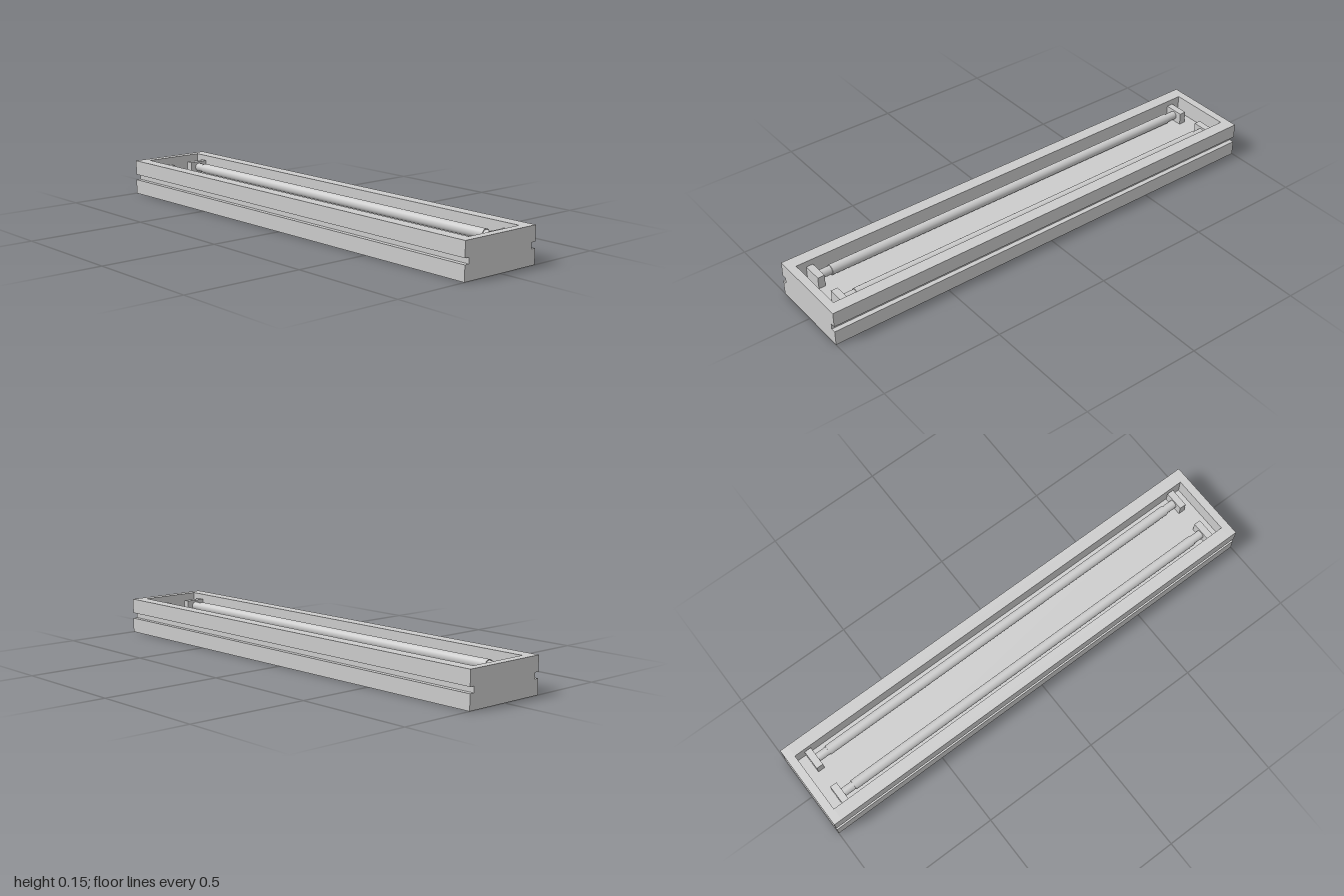
import * as THREE from 'three';

const W = 0.183, H = 0.148, L = 1;              // half width, height, half length
const CAV_X = 0.131, CAV_Z = 0.966, FLOOR = 0.075;
const GROOVE = [0.062, 0.086], GROOVE_X = 0.163;

export function createModel() {
  const root = new THREE.Group();
  const mat = new THREE.MeshStandardMaterial({ color: 0xcccccc });

  const add = (name, geometry, x = 0, y = 0, z = 0) => {
    const mesh = new THREE.Mesh(geometry, mat);
    mesh.name = name;
    mesh.position.set(x, y, z);
    root.add(mesh);
    return mesh;
  };

  // Housing cross-section with a groove on each side, optionally open on top
  const section = (open) => {
    const [g0, g1] = GROOVE;
    const right = [[W, 0], [W, g0], [GROOVE_X, g0], [GROOVE_X, g1], [W, g1], [W, H]];
    if (open) right.push([CAV_X, H], [CAV_X, FLOOR]);
    const left = right.map(([x, y]) => [-x, y]).reverse();
    return new THREE.Shape([...right, ...left].map(([x, y]) => new THREE.Vector2(x, y)));
  };
  const extrude = (open, depth) =>
    new THREE.ExtrudeGeometry(section(open), { depth, bevelEnabled: false });

  // Trough and its two end walls
  add('housingTrough', extrude(true, 2 * CAV_Z), 0, 0, -CAV_Z);
  add('frontEndWall', extrude(false, L - CAV_Z), 0, 0, CAV_Z);
  add('backEndWall', extrude(false, L - CAV_Z), 0, 0, -L);

  // Two lamp tubes, each held between a pair of sockets
  const tubeY = 0.101;
  for (const [side, sx] of [['left', 1], ['right', -1]]) {
    const x = sx * 0.087;
    const tube = new THREE.CylinderGeometry(0.021, 0.021, 1.7, 32).rotateX(Math.PI / 2);
    add(`${side}LampTube`, tube, x, tubeY, 0);
    for (const [end, sz] of [['Front', 1], ['Back', -1]]) {
      const cap = new THREE.CylinderGeometry(0.0175, 0.0175, 0.05, 32).rotateX(Math.PI / 2);
      add(`${side}${end}TubeCap`, cap, x, tubeY, sz * 0.874);
      add(`${side}${end}Socket`, new THREE.BoxGeometry(0.083, 0.051, 0.029), x, FLOOR + 0.0255, sz * 0.912);
    }
  }
  return root;
}
